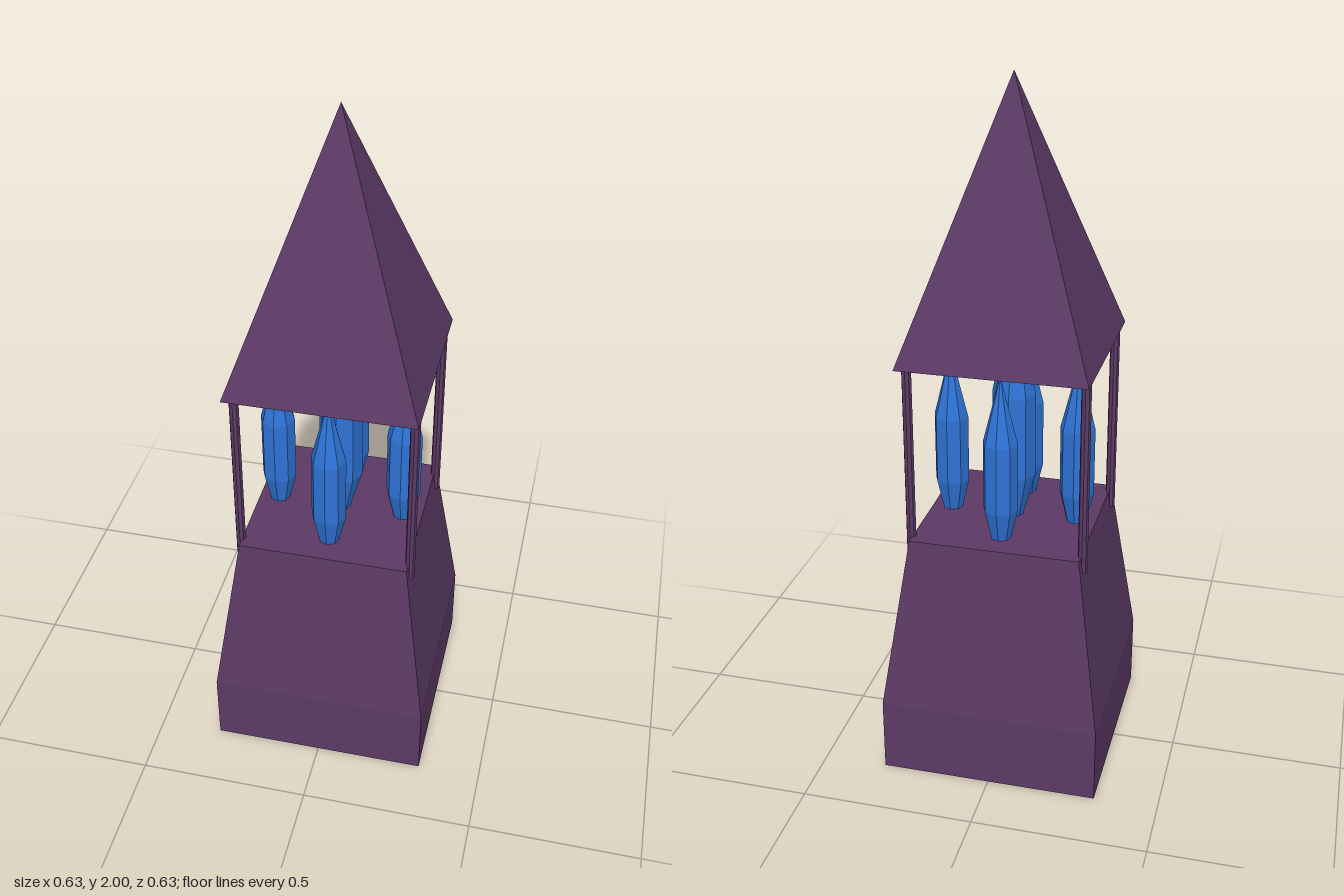
import * as THREE from 'three';

const stone = new THREE.MeshStandardMaterial({ color: 0x5c3a66, flatShading: true });
const crystal = new THREE.MeshStandardMaterial({ color: 0x2f74d8, flatShading: true });

// Solid of revolution-like rings with n sides, standing between y0 and y1
function frustum(name, material, rTop, rBottom, y0, y1, sides, openEnded = false) {
  const geometry = new THREE.CylinderGeometry(rTop, rBottom, y1 - y0, sides, 1, openEnded);
  if (sides === 4) geometry.rotateY(Math.PI / 4);
  geometry.translate(0, (y0 + y1) / 2, 0);
  const mesh = new THREE.Mesh(geometry, material);
  mesh.name = name;
  return mesh;
}

// Four-sided frustum given by its half widths
function squareFrustum(name, top, bottom, y0, y1) {
  return frustum(name, stone, top * Math.SQRT2, bottom * Math.SQRT2, y0, y1, 4);
}

// Eight-sided crystal: tapered foot, straight shaft, pointed tip
function makeCrystal(name, r, foot, yFoot, yLow, yHigh, yTip) {
  const group = new THREE.Group();
  group.name = name;
  group.add(
    frustum('crystalFoot', crystal, r, foot, yFoot, yLow, 8, true),
    frustum('crystalShaft', crystal, r, r, yLow, yHigh, 8, true),
    frustum('crystalTip', crystal, 0, r, yHigh, yTip, 8, true)
  );
  return group;
}

export function createModel() {
  const model = new THREE.Group();
  model.name = 'crystalTower';

  // Plinth, tapered body and pyramid roof
  model.add(
    squareFrustum('plinth', 0.316, 0.316, 0, 0.22),
    squareFrustum('body', 0.243, 0.316, 0.22, 0.73),
    squareFrustum('roof', 0, 0.265, 1.25, 2)
  );

  // Corner posts
  for (const sx of [-1, 1]) {
    for (const sz of [-1, 1]) {
      const post = frustum('post', stone, 0.014, 0.014, 0.68, 1.26, 8);
      post.position.set(sx * 0.247, 0, sz * 0.206);
      model.add(post);
    }
  }

  // Large central crystal, its tip reaching into the roof
  model.add(makeCrystal('centreCrystal', 0.063, 0.025, 0.72, 0.86, 1.11, 1.4));

  // Four smaller crystals around it
  for (const [x, z] of [[0.185, 0], [-0.185, 0], [0, 0.153], [0, -0.153]]) {
    const small = makeCrystal('smallCrystal', 0.05, 0.027, 0.72, 0.82, 1.02, 1.22);
    small.position.set(x, 0, z);
    model.add(small);
  }
  return model;
}
